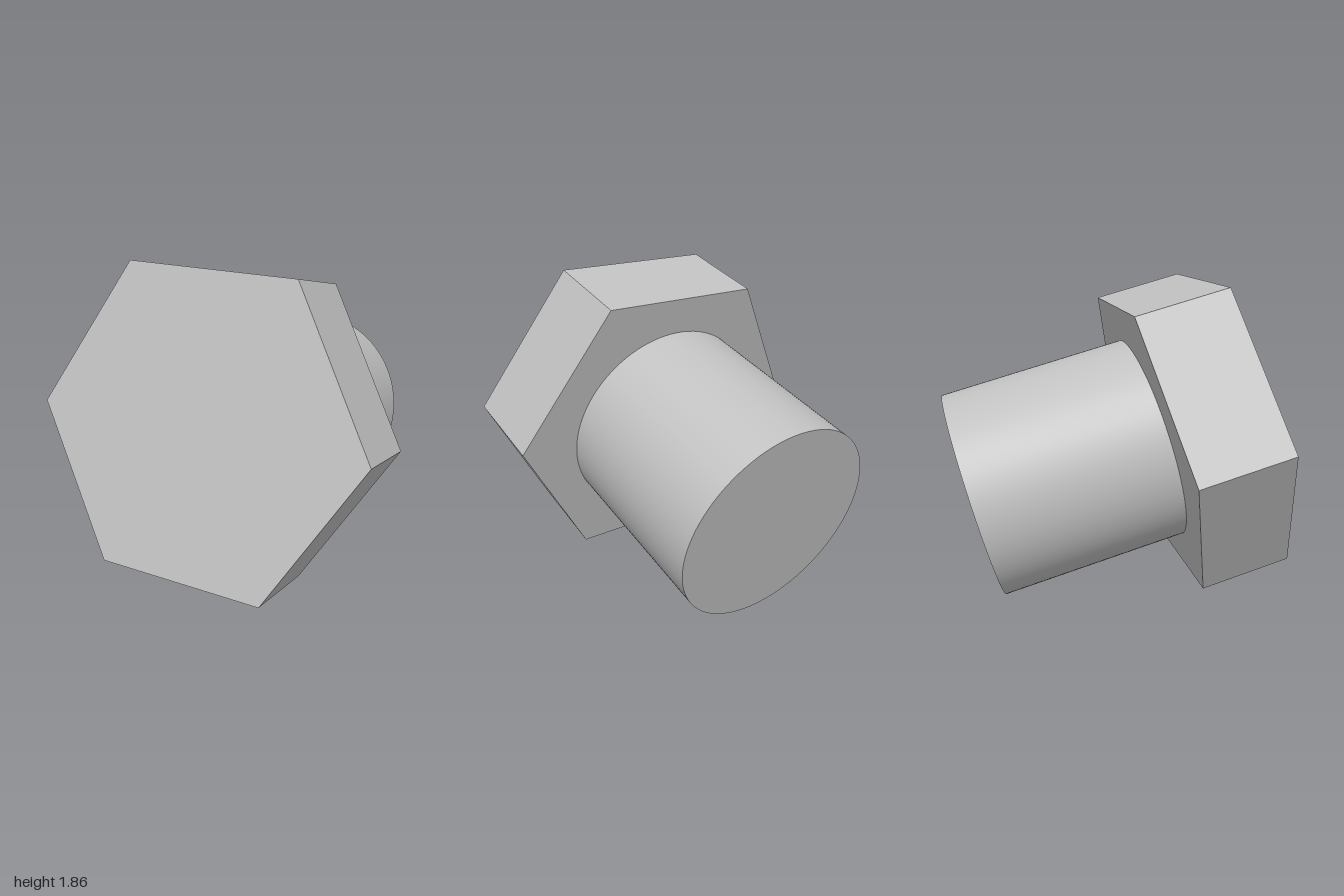
import * as THREE from 'three';

export function createModel() {
  const model = new THREE.Group();
  model.name = 'hexBolt';
  const steel = new THREE.MeshStandardMaterial({ color: 0xc0c0c0 });
  steel.name = 'steel grey';

  const shankLength = 1.12;
  const headThickness = 0.55;

  // Bolt axis runs along local z, starting at the centre of the shank's end
  const bolt = new THREE.Group();
  bolt.name = 'bolt';
  bolt.position.set(0, 0.607, -0.836);
  bolt.rotation.x = -THREE.MathUtils.degToRad(15);
  model.add(bolt);

  const addPart = (name, geometry, z) => {
    geometry.rotateX(Math.PI / 2);
    geometry.translate(0, 0, z);
    const mesh = new THREE.Mesh(geometry, steel);
    mesh.name = name;
    bolt.add(mesh);
  };

  // Smooth round shank
  addPart('shank', new THREE.CylinderGeometry(0.627, 0.627, shankLength, 96), shankLength / 2);

  // Six-sided head with corners pointing left and right, sharp facets
  const head = new THREE.CylinderGeometry(0.977, 0.977, headThickness, 6, 1, false, Math.PI / 6).toNonIndexed();
  head.computeVertexNormals();
  addPart('head', head, shankLength + headThickness / 2);

  return model;
}
